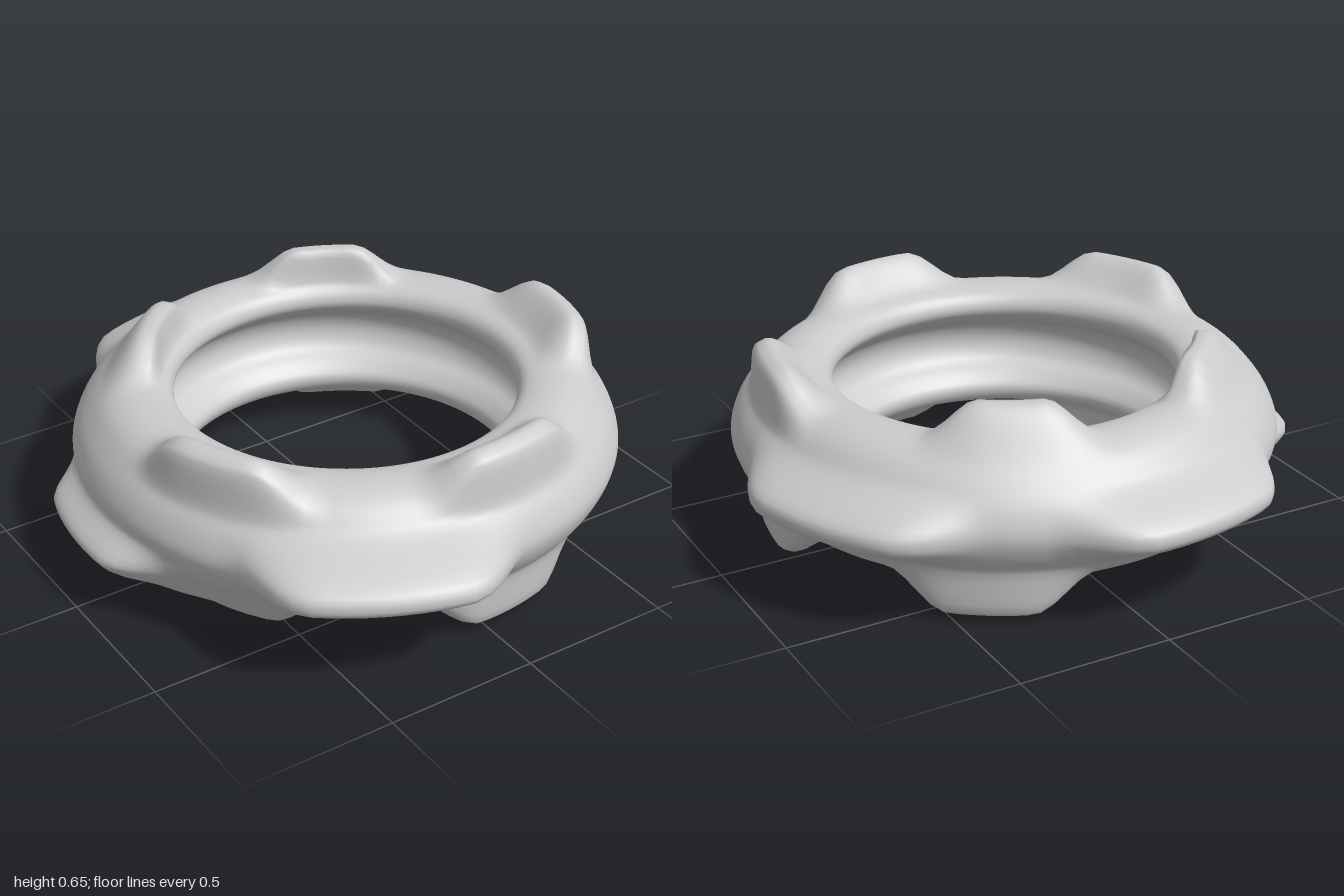
import * as THREE from 'three';
import { mergeVertices } from 'three/addons/utils/BufferGeometryUtils.js';

const RAD = Math.PI / 180;
const MID = 0.33; // height of the ring's middle plane

// 1 inside the inner distance, easing to 0 at the outer distance
const plateau = (d, inner, outer) => 1 - THREE.MathUtils.smoothstep(Math.abs(d), inner, outer);
// shortest difference between two angles, in degrees
const turn = (a, b) => ((a - b + 540) % 360 + 360) % 360 - 180;

// Knobs on the upper (side 1) and lower (side -1) faces.
// Lean 1 tips the knob outwards, -1 inwards; the leaning flank is steep, the other gentle.
const faceKnobs = [
  { side: 1, angle: 11, radius: 0.745, lean: 1 },
  { side: 1, angle: 83, radius: 0.75, lean: 1 },
  { side: 1, angle: 153, radius: 0.75, lean: 1 },
  { side: 1, angle: 225, radius: 0.655, lean: -1 },
  { side: 1, angle: -63, radius: 0.655, lean: -1 },
  { side: -1, angle: 11, radius: 0.745, lean: 1 },
  { side: -1, angle: 83, radius: 0.75, lean: 1 },
  { side: -1, angle: 152, radius: 0.665, lean: -1 },
  { side: -1, angle: 226, radius: 0.655, lean: -1 },
  { side: -1, angle: -58, radius: 0.75, lean: 1 },
];

// Lugs around the rim: angle, height, reach outwards and flat half-width
const rimLugs = [
  { angle: -27, y: 0.33, reach: 0.105, flat: 13 },
  { angle: -100, y: 0.33, reach: 0.125, flat: 12 },
  { angle: 186, y: 0.18, reach: 0.14, flat: 11 },
  { angle: 116, y: 0.34, reach: 0.15, flat: 13 },
];

// Upper half of the cross-section (radius, height above the middle), from groove to rim
const upper = [
  [0.655, 0], [0.635, 0.06], [0.585, 0.1], [0.55, 0.145], [0.565, 0.19],
  [0.62, 0.213], [0.70, 0.212], [0.765, 0.185], [0.82, 0.13], [0.86, 0.07], [0.88, 0],
];

function crossSection(count) {
  const lower = upper.slice(1, -1).reverse().map(([r, h]) => [r, -h]);
  const points = [...upper, ...lower].map(([r, h]) => new THREE.Vector3(r, h, 0));
  return new THREE.CatmullRomCurve3(points, true).getSpacedPoints(count);
}

function ringGeometry(around = 120, section = 96) {
  // Reversed so that the faces point out of the ring
  const profile = crossSection(section).map((p) => new THREE.Vector2(p.x, p.y + MID)).reverse();
  let geometry = new THREE.LatheGeometry(profile, around);
  geometry.deleteAttribute('uv');
  geometry.deleteAttribute('normal');
  geometry = mergeVertices(geometry, 1e-4);

  // Raise the knobs and lugs out of the plain ring
  const pos = geometry.attributes.position;
  for (let i = 0; i < pos.count; i++) {
    const x = pos.getX(i), y = pos.getY(i), z = pos.getZ(i);
    const r = Math.hypot(x, z), angle = Math.atan2(z, x) / RAD;
    const h = y - MID;
    let newR = r, newY = y;

    for (const k of faceKnobs) {
      const face = THREE.MathUtils.smoothstep(h * k.side, 0.09, 0.16);
      const d = (r - k.radius) * k.lean;
      const across = d > 0 ? plateau(d, 0.02, 0.075) : plateau(d, 0.015, 0.13);
      const w = plateau(turn(angle, k.angle), 9, 24) * across * face;
      newY += k.side * 0.11 * w;
      newR += k.lean * 0.025 * w;
    }
    if (r > 0.72) {
      for (const l of rimLugs) {
        const w = plateau(turn(angle, l.angle), l.flat, l.flat + 18) * plateau(y - l.y, 0.015, 0.13);
        newR += l.reach * w;
      }
    }
    pos.setXYZ(i, x * newR / r, newY, z * newR / r);
  }
  geometry.computeVertexNormals();

  // Stand on the ground
  geometry.computeBoundingBox();
  geometry.translate(0, -geometry.boundingBox.min.y, 0);
  return geometry;
}

export function createModel() {
  const group = new THREE.Group();
  group.name = 'knobbedRing';
  const material = new THREE.MeshStandardMaterial({ color: 0xcccccc });
  const ring = new THREE.Mesh(ringGeometry(), material);
  ring.name = 'ringBody';
  group.add(ring);
  return group;
}
